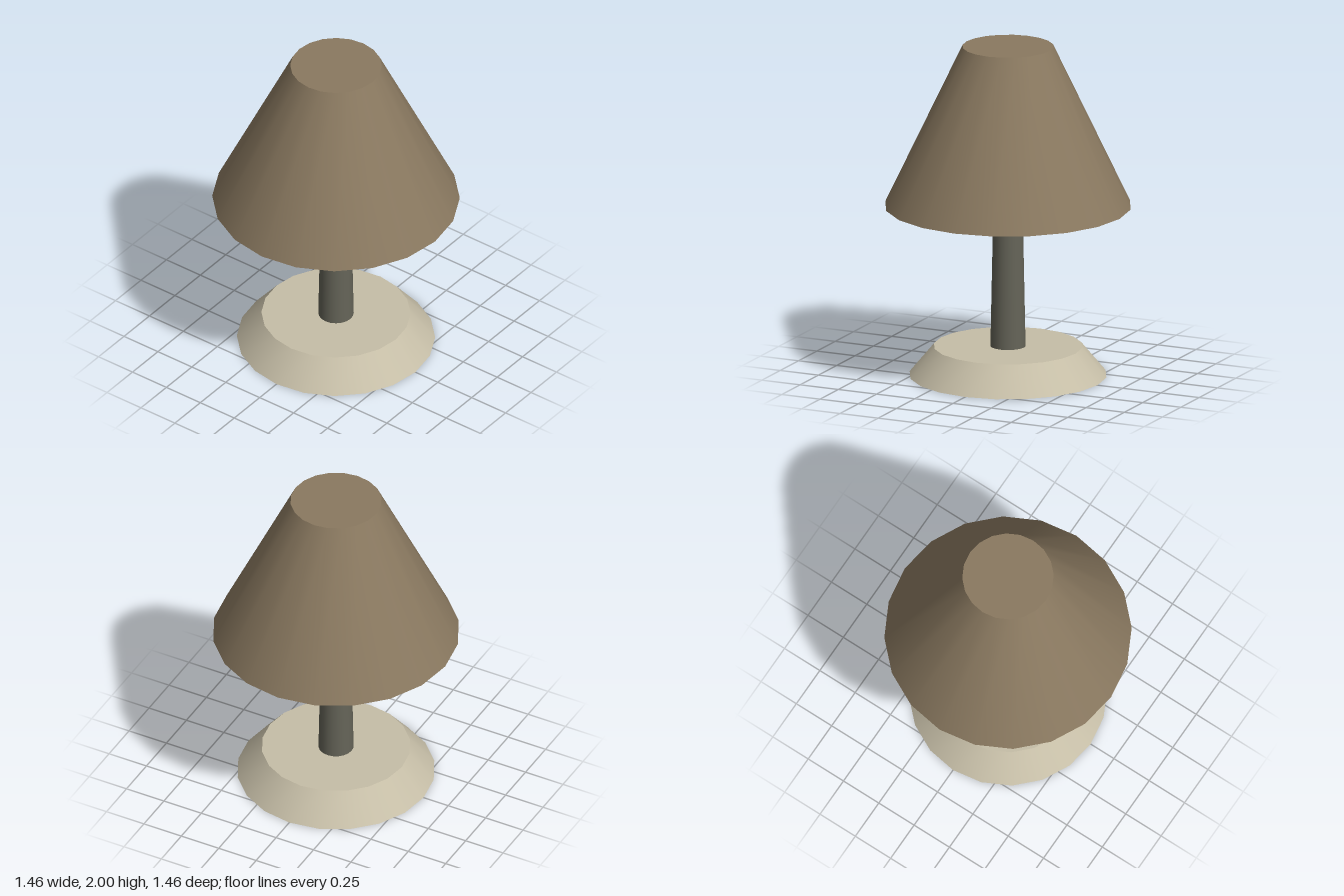
import * as THREE from 'three';

const SIDES = 20;

export function createModel() {
  const lamp = new THREE.Group();
  lamp.name = 'tableLamp';

  const material = (name, color) => {
    const m = new THREE.MeshStandardMaterial({ color });
    m.name = name;
    return m;
  };
  const shadeBrown = material('shadeBrown', 0x8a7960);
  const stemGrey = material('stemGrey', 0x656458);
  const baseCream = material('baseCream', 0xc6bea7);

  // Closed tapered drum between two heights
  const taper = (name, topRadius, bottomRadius, y0, y1, mat) => {
    const geometry = new THREE.CylinderGeometry(topRadius, bottomRadius, y1 - y0, SIDES);
    const mesh = new THREE.Mesh(geometry, mat);
    mesh.name = name;
    mesh.position.y = (y0 + y1) / 2;
    lamp.add(mesh);
  };

  taper('base', 0.44, 0.585, 0, 0.175, baseCream);
  // Stem runs slightly into the base and the shade
  taper('stem', 0.087, 0.105, 0.16, 1.04, stemGrey);
  taper('shade', 0.27, 0.73, 1.03, 2, shadeBrown);

  return lamp;
}
